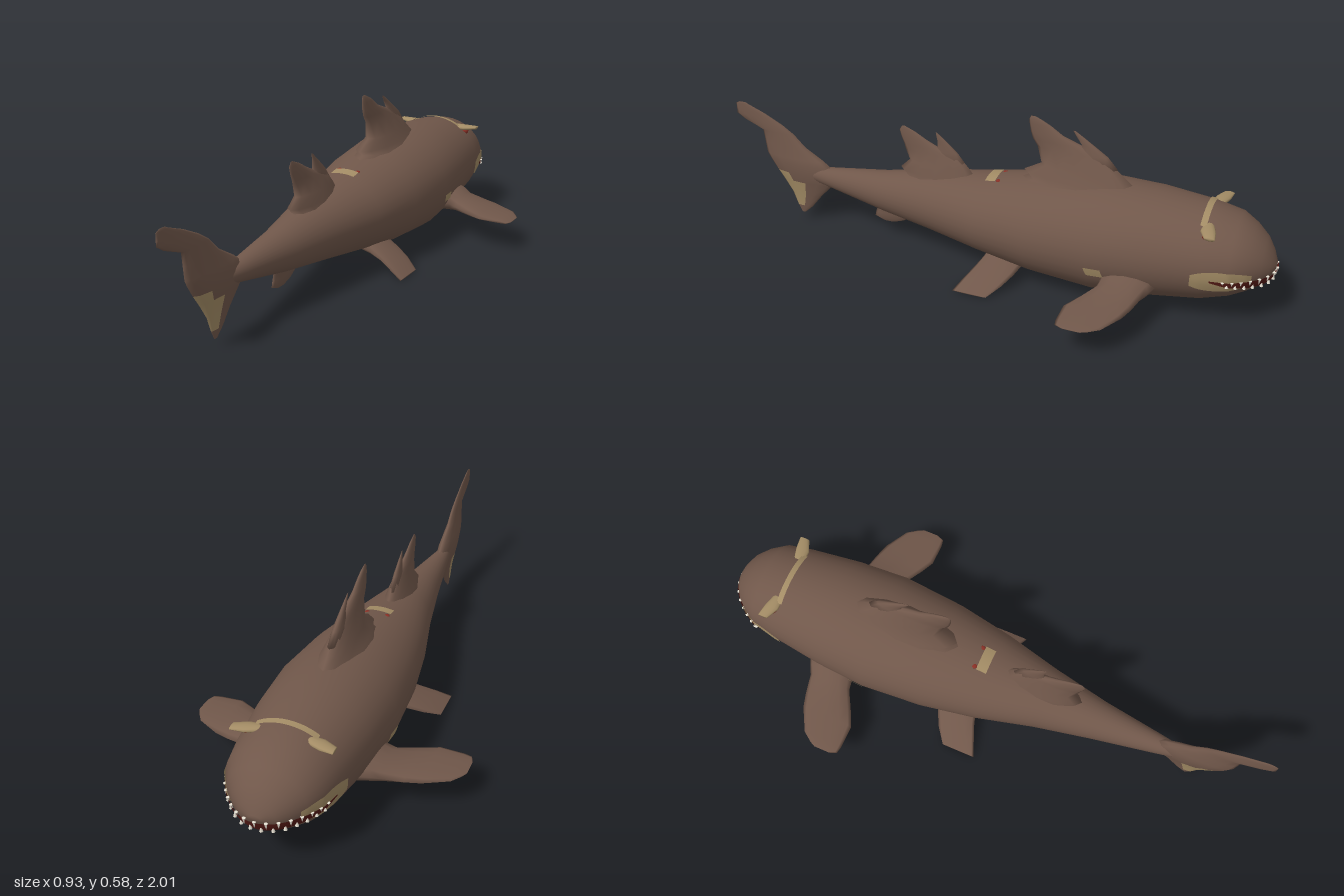
import * as THREE from 'three';

const mat = (name, color, side = THREE.FrontSide) => {
  const m = new THREE.MeshStandardMaterial({ color, side });
  m.name = name;
  return m;
};

// Body stations: z, top y, bottom y, half width (head at -z)
const STATIONS = [
  [-1, .215, .195, .02], [-.985, .25, .16, .058], [-.96, .29, .135, .092], [-.92, .325, .11, .128],
  [-.87, .355, .085, .158], [-.78, .375, .055, .176], [-.6, .392, .03, .2], [-.42, .395, .015, .212],
  [-.2, .37, .03, .195], [0, .335, .06, .16], [.2, .305, .09, .11], [.4, .268, .12, .07],
  [.62, .24, .165, .035], [.75, .225, .19, .012],
];

// Centre height, half height and half width of the body at z
function bodyAt(z) {
  let i = 1;
  while (i < STATIONS.length - 1 && STATIONS[i][0] < z) i++;
  const a = STATIONS[i - 1], b = STATIONS[i];
  const t = THREE.MathUtils.clamp((z - a[0]) / (b[0] - a[0]), 0, 1);
  const [top, low, w] = [1, 2, 3].map(k => a[k] + (b[k] - a[k]) * t);
  return { c: (top + low) / 2, h: (top - low) / 2, w };
}

// Closed loft through rings of points; painted(row, k) picks the second material
function loft(rings, painted) {
  const n = rings[0].length, pos = [], faces = [[], []];
  rings.forEach(r => r.forEach(p => pos.push(p.x, p.y, p.z)));
  for (let i = 0; i < rings.length - 1; i++) {
    for (let k = 0; k < n; k++) {
      const a = i * n + k, b = i * n + (k + 1) % n;
      faces[painted && painted(i, k) ? 1 : 0].push(a, b, a + n, b, b + n, a + n);
    }
  }
  [0, rings.length - 1].forEach((r, end) => {
    const c = new THREE.Vector3();
    rings[r].forEach(p => c.addScaledVector(p, 1 / n));
    const id = pos.length / 3;
    pos.push(c.x, c.y, c.z);
    for (let k = 0; k < n; k++) {
      const a = r * n + k, b = r * n + (k + 1) % n;
      faces[0].push(...(end ? [a, b, id] : [b, a, id]));
    }
  });
  // Turn the faces outward whichever way the rings run
  const v = i => new THREE.Vector3().fromArray(pos, i * 3);
  let volume = 0;
  const all = [...faces[0], ...faces[1]];
  for (let i = 0; i < all.length; i += 3) volume += v(all[i]).dot(v(all[i + 1]).cross(v(all[i + 2])));
  if (volume < 0) for (let i = 0; i < all.length; i += 3) [all[i], all[i + 1]] = [all[i + 1], all[i]];
  const g = new THREE.BufferGeometry();
  g.setAttribute('position', new THREE.Float32BufferAttribute(pos, 3));
  g.setIndex(all);
  if (painted) {
    g.addGroup(0, faces[0].length, 0);
    g.addGroup(faces[0].length, faces[1].length, 1);
  }
  g.computeVertexNormals();
  return g;
}

// Lens-shaped fin; sections: span, leading z, trailing z, half thickness, offset
const FIN_SIDES = 12;
function fin(sections, place, painted) {
  return loft(sections.map(([s, a, b, t, o = 0]) => Array.from({ length: FIN_SIDES }, (_, k) => {
    const q = k / FIN_SIDES * Math.PI * 2;
    return place(s, (a + b) / 2 - Math.cos(q) * (b - a) / 2, o + Math.sin(q) * t);
  })), painted);
}
const upright = (s, c, n) => new THREE.Vector3(n, s, c);
const sideways = side => (s, c, n) => new THREE.Vector3(side * s, n, c);

// Point on the flank or snout, in direction phi from the nose, at height y
function skin(phi, y, lift) {
  let lo = 0, hi = .6;
  for (let i = 0; i < 30; i++) {
    const r = (lo + hi) / 2, z = -.7 - Math.cos(phi) * r, { c, h, w } = bodyAt(z);
    const inside = z > -1 && (Math.sin(phi) * r / w) ** 2 + ((y - c) / h) ** 2 < 1;
    if (inside) lo = r; else hi = r;
  }
  return new THREE.Vector3(Math.sin(phi) * (lo + lift), y, -.7 - Math.cos(phi) * (lo + lift));
}

// Thin sheet from a function of u and v
function sheet(point, nu = 24, nv = 3) {
  const g = new THREE.PlaneGeometry(1, 1, nu, nv), p = g.attributes.position;
  for (let i = 0; i < p.count; i++) {
    const q = point(p.getX(i) + .5, p.getY(i) + .5);
    p.setXYZ(i, q.x, q.y, q.z);
  }
  g.computeVertexNormals();
  return g;
}
const topSheet = (x0, x1, z0, z1) => sheet((u, v) => {
  const x = x0 + (x1 - x0) * u, z = z1 + (z0 - z1) * v, { c, h, w } = bodyAt(z);
  return new THREE.Vector3(x, c + h * Math.sqrt(1 - (x / w) ** 2) + .004, z);
}, 12, 2);

export function createModel() {
  const root = new THREE.Group();
  const hide = mat('brown hide', 0x70574a);
  const tan = mat('tan patch', 0xa38c65, THREE.DoubleSide);
  const gum = mat('dark red mouth', 0x551a15, THREE.DoubleSide);
  const red = mat('red eye', 0x8a3026);
  const ivory = mat('ivory teeth', 0xe8e2d4);
  const add = (name, geometry, material) => {
    const m = new THREE.Mesh(geometry, material);
    m.name = name;
    root.add(m);
    return m;
  };

  // Body
  add('body', loft(STATIONS.map(([z]) => {
    const { c, h, w } = bodyAt(z);
    return Array.from({ length: 32 }, (_, k) => {
      const q = k / 32 * Math.PI * 2;
      return new THREE.Vector3(Math.cos(q) * w, c + Math.sin(q) * h, z);
    });
  })), hide);

  // Fins on the back, each with a forward spike
  add('frontDorsalFin', fin([
    [.3, -.55, -.06, .11], [.345, -.54, -.1, .085], [.368, -.53, -.155, .07], [.386, -.52, -.135, .06],
    [.42, -.48, -.195, .042], [.48, -.41, -.18, .02], [.505, -.34, -.163, .016], [.53, -.27, -.155, .012],
    [.56, -.225, -.15, .008], [.575, -.195, -.15, .005], [.585, -.172, -.155, .001]], upright), hide);
  add('frontDorsalSpike', fin([
    [.44, -.46, -.3, .022], [.48, -.425, -.325, .015], [.51, -.38, -.333, .009],
    [.535, -.343, -.315, .005], [.556, -.31, -.302, .001]], upright), hide);
  add('rearDorsalFin', fin([
    [.24, .02, .36, .06], [.28, .03, .3, .05], [.305, .04, .33, .042], [.34, .065, .295, .03],
    [.38, .1, .31, .017], [.4, .17, .315, .013], [.425, .225, .325, .009], [.45, .27, .331, .005],
    [.466, .31, .32, .001]], upright), hide);
  add('rearDorsalSpike', fin([
    [.35, .075, .21, .018], [.395, .11, .187, .011], [.43, .15, .187, .006], [.461, .187, .193, .001]],
  upright), hide);

  // Tail with a tan trailing edge on the lower lobe
  add('tailFin', fin([
    [.03, .742, .757, .002], [.06, .71, .772, .006], [.11, .67, .79, .01], [.165, .62, .825, .02],
    [.2, .6, .85, .026], [.24, .62, .875, .026], [.26, .645, .885, .022], [.305, .72, .89, .015],
    [.35, .765, .895, .011], [.38, .81, .97, .008], [.4, .85, 1, .006], [.415, .88, 1, .005],
    [.44, .945, 1, .003], [.447, .96, .985, .001]],
  upright, (i, k) => (i > 0 && i < 3 && k >= 3 && k <= 8) || (i === 3 && k >= 4 && k <= 7)), [hide, tan]);
  add('analFin', fin([
    [.16, .27, .46, .014], [.13, .28, .43, .012], [.1, .3, .44, .01], [.08, .33, .445, .007],
    [.066, .37, .41, .001]], upright), hide);

  for (const side of [1, -1]) {
    const label = side > 0 ? 'left' : 'right';
    // Paired fins
    add(label + 'PectoralFin', fin([
      [.12, -.67, -.45, .055, .14], [.2, -.635, -.47, .042, .13], [.23, -.62, -.465, .031, .122],
      [.3, -.605, -.425, .02, .118], [.35, -.59, -.4, .014, .117], [.43, -.545, -.4, .007, .114],
      [.455, -.51, -.405, .003, .113], [.465, -.49, -.43, .001, .113]], sideways(side)), hide);
    add(label + 'PelvicFin', fin([
      [.06, -.18, -.03, .03, .078], [.1, -.17, -.025, .023, .067], [.15, -.155, -.01, .014, .05],
      [.2, -.13, .01, .009, .029], [.25, -.092, .03, .002, .005]], sideways(side)), hide);
    // Brow, eye and flank patch
    add(label + 'Brow', fin([
      [.07, -.8, -.765, .011, .346], [.12, -.815, -.765, .01, .344], [.163, -.82, -.785, .006, .345]],
    sideways(side)), tan);
    const eye = add(label + 'Eye', new THREE.SphereGeometry(.013, 12, 8), red);
    eye.position.set(side * .122, .332, -.785);
    add(label + 'FlankPatch', sheet((u, v) =>
      skin(side * (2.4 + .1 * u), .15 + .03 * v, .004), 4, 2), tan);
    // Tan lips around the corner of the mouth
    add(label + 'Lip', sheet((u, v) => {
      const y = .195 + (v - .5) * .078 * Math.sin(Math.PI * (.12 + .76 * u)) ** .6;
      return skin(side * (.45 + .82 * u), y, .004);
    }), tan);
    // Red spots on the back
    const spot = add(label + 'BackSpot', new THREE.SphereGeometry(.01, 10, 6), red);
    spot.scale.y = .4;
    spot.position.set(side * .035, .339, -.055);
  }
  add('browBand', topSheet(-.1, .1, -.78, -.76), tan);
  add('backPatch', topSheet(-.045, .045, -.045, -.008), tan);

  // Mouth wrapped around the snout, with two rows of teeth
  const SPAN = .98;
  const upper = p => .196 + .006 * (p / SPAN) ** 2;
  const lower = p => .16 + .036 * (p / SPAN) ** 2;
  add('mouth', sheet((u, v) => {
    const p = (u * 2 - 1) * SPAN;
    return skin(p, lower(p) + (upper(p) - lower(p)) * v, .007);
  }, 40), gum);
  for (let i = -7; i <= 7; i++) {
    for (const row of [1, -1]) {
      const p = (i + (row < 0 ? .5 : 0)) * .115;
      const size = (upper(p) - lower(p)) * .6;
      if (Math.abs(p) > .85) continue;
      const tooth = add(row > 0 ? 'upperTooth' : 'lowerTooth', new THREE.ConeGeometry(.006, size, 6), ivory);
      tooth.position.copy(skin(p, row > 0 ? upper(p) - size / 2 : lower(p) + size / 2, .007));
      if (row > 0) tooth.rotation.x = Math.PI;
    }
  }
  return root;
}
